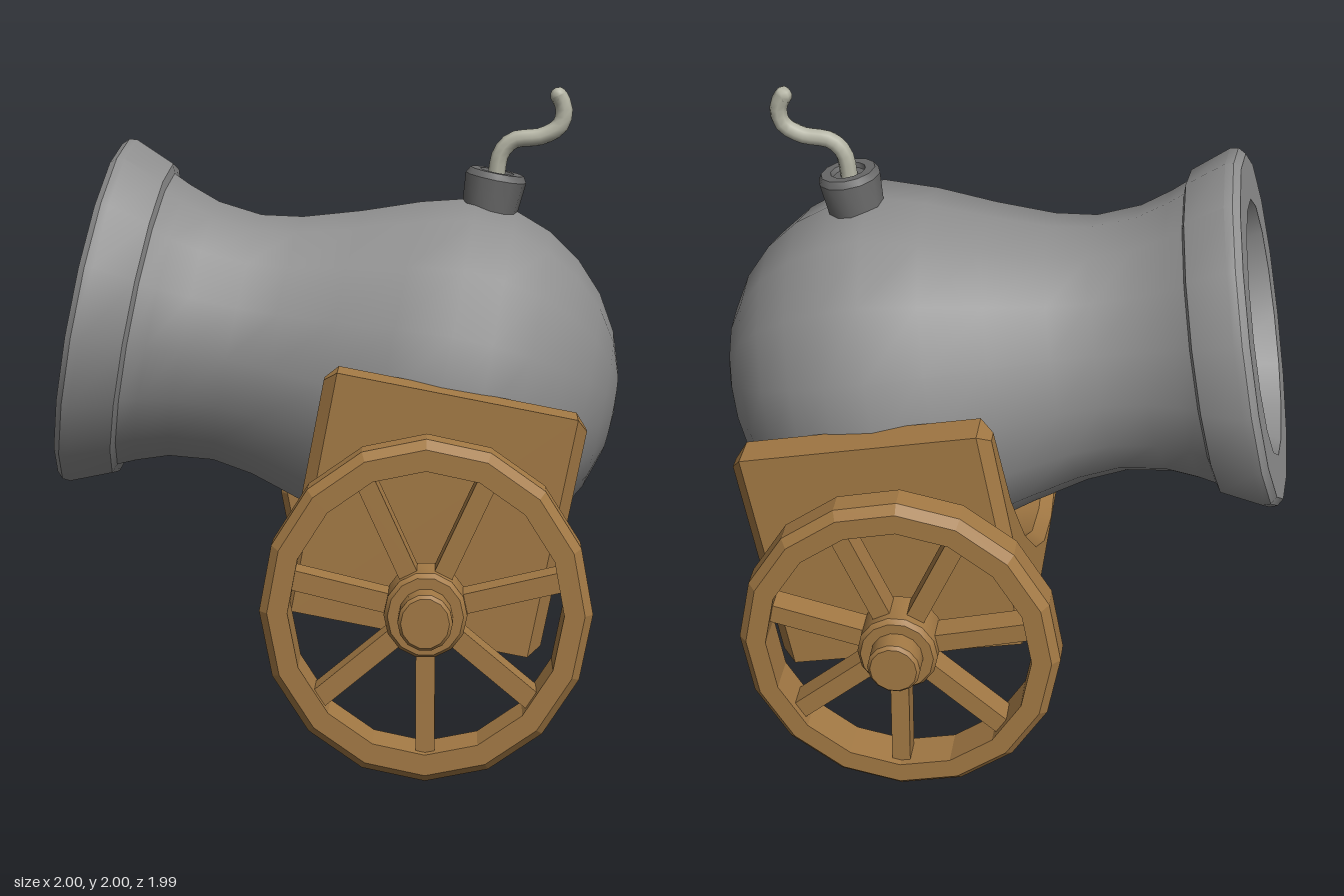
import * as THREE from 'three';
import { toCreasedNormals } from 'three/addons/utils/BufferGeometryUtils.js';

const wood = new THREE.MeshStandardMaterial({ color: 0xa47a45 });
const iron = new THREE.MeshStandardMaterial({ color: 0x909090 });
const darkIron = new THREE.MeshStandardMaterial({ color: 0x6a6a6a });
const cord = new THREE.MeshStandardMaterial({ color: 0xb4b4a4 });

const YAW = -0.655, PITCH = 0.19;

function add(parent, name, geometry, material, crease = 0.6) {
  const mesh = new THREE.Mesh(toCreasedNormals(geometry, crease), material);
  mesh.name = name;
  parent.add(mesh);
  return mesh;
}

function lathe(points, segments) {
  return new THREE.LatheGeometry(points.map(([r, y]) => new THREE.Vector2(r, y)), segments);
}

// Round belly, narrow neck, flared lip and hollow bore, along +z; a little taller than wide
function barrelGeometry() {
  const points = [];
  for (let i = 0; i <= 7; i++) {
    const a = (i / 7) * Math.PI * 0.5;
    points.push([0.59 * Math.sin(a), -0.565 * Math.cos(a)]);
  }
  points.push(
    [0.545, 0.17], [0.48, 0.35], [0.425, 0.53], [0.405, 0.66], [0.42, 0.8], [0.455, 0.9], [0.48, 0.955],
    [0.51, 0.965], [0.562, 1.09], [0.56, 1.115], [0.54, 1.135],
    [0.4, 1.135], [0.34, 0.92], [0.29, 0.75], [0.18, 0.69], [0, 0.67]
  );
  return lathe(points, 16).rotateX(Math.PI / 2).scale(0.965, 1, 1);
}

// Block with a hollow that holds the belly
function cradleGeometry() {
  const half = 0.642, height = 0.74, length = 0.79, bevel = 0.035;
  const hollow = [[0.53, height], [0.49, 0.45], [0.41, 0.28], [0.3, 0.165], [0.17, 0.1], [0, 0.075]];
  const shape = new THREE.Shape();
  shape.moveTo(-half, 0);
  shape.lineTo(half, 0);
  shape.lineTo(half, height);
  hollow.forEach(([x, y]) => shape.lineTo(x, y));
  hollow.slice(0, -1).reverse().forEach(([x, y]) => shape.lineTo(-x, y));
  shape.lineTo(-half, height);
  shape.closePath();
  return new THREE.ExtrudeGeometry(shape, {
    depth: length - 2 * bevel, bevelEnabled: true, bevelSegments: 1,
    bevelSize: bevel, bevelThickness: bevel, bevelOffset: -bevel
  }).translate(0, 0, -length / 2 + bevel);
}

// Wheel built around the y axis, outer side towards +y
function makeWheel() {
  const wheel = new THREE.Group();
  const R = 0.52, r = 0.43, t = 0.063, b = 0.026;
  add(wheel, 'wheelRim', lathe([
    [r, -t], [R - b, -t], [R, -t + b], [R, t - b], [R - b, t], [r, t], [r, -t]
  ], 16), wood, 0.2);
  add(wheel, 'hub', lathe([
    [0, -0.1], [0.09, -0.1], [0.09, -0.06], [0.13, -0.05], [0.13, 0.065], [0.118, 0.08],
    [0.085, 0.08], [0.085, 0.14], [0.075, 0.15], [0, 0.15]
  ], 14), wood, 0.5);
  const spokes = 7;
  for (let i = 0; i < spokes; i++) {
    const spoke = add(wheel, 'spoke', new THREE.BoxGeometry(0.36, 0.08, 0.06).translate(0.27, 0, 0), wood);
    // first spoke points straight down once the wheel is upright
    spoke.rotation.y = (i / spokes) * Math.PI * 2;
  }
  // slightly taller than long
  wheel.scale.z = 0.94;
  return wheel;
}

export function createModel() {
  const model = new THREE.Group();
  model.name = 'cannon';
  const cannon = new THREE.Group();
  cannon.name = 'turnedCannon';
  cannon.position.set(0.07, 0, -0.16);
  cannon.rotation.y = YAW;
  model.add(cannon);

  // Barrel, fuse and cradle share one upward tilt
  const tilted = new THREE.Group();
  tilted.name = 'tiltedBody';
  tilted.position.set(0, 1.07, -0.06);
  tilted.rotation.x = -PITCH;
  cannon.add(tilted);

  add(tilted, 'barrel', barrelGeometry(), iron).rotation.y = -0.015;
  add(tilted, 'cradle', cradleGeometry(), wood).position.set(0, -0.662, -0.04);

  // Fuse socket and bent fuse
  add(tilted, 'fuseSocket', lathe([
    [0, 0.53], [0.085, 0.53], [0.097, 0.665], [0.085, 0.685], [0.055, 0.685], [0.05, 0.67], [0, 0.67]
  ], 12), darkIron).position.z = -0.045;
  const path = new THREE.CatmullRomCurve3([
    [0.66, -0.045], [0.745, -0.045], [0.79, -0.075], [0.82, -0.16], [0.865, -0.21], [0.92, -0.21], [0.955, -0.185]
  ].map(([y, z]) => new THREE.Vector3(0, y, z)));
  add(tilted, 'fuse', new THREE.TubeGeometry(path, 16, 0.027, 8), cord, 1);
  const tip = add(tilted, 'fuseTip', new THREE.SphereGeometry(0.027, 8, 6), cord, 1);
  tip.position.set(0, 0.953, -0.186);

  // Wheels on both sides
  for (const side of [1, -1]) {
    const wheel = makeWheel();
    wheel.name = side > 0 ? 'leftWheel' : 'rightWheel';
    wheel.position.set(side > 0 ? 0.735 : -0.722, 0.52, side > 0 ? -0.025 : 0.02);
    wheel.rotation.z = -side * Math.PI / 2;
    // spokes lie along local x: turn the right wheel so its first spoke also points down
    if (side < 0) wheel.rotateY(Math.PI);
    cannon.add(wheel);
  }
  const axle = add(cannon, 'axle', new THREE.CylinderGeometry(0.07, 0.07, 1.35, 12), wood);
  axle.rotation.z = Math.PI / 2;
  axle.position.set(0, 0.52, 0);

  return model;
}
